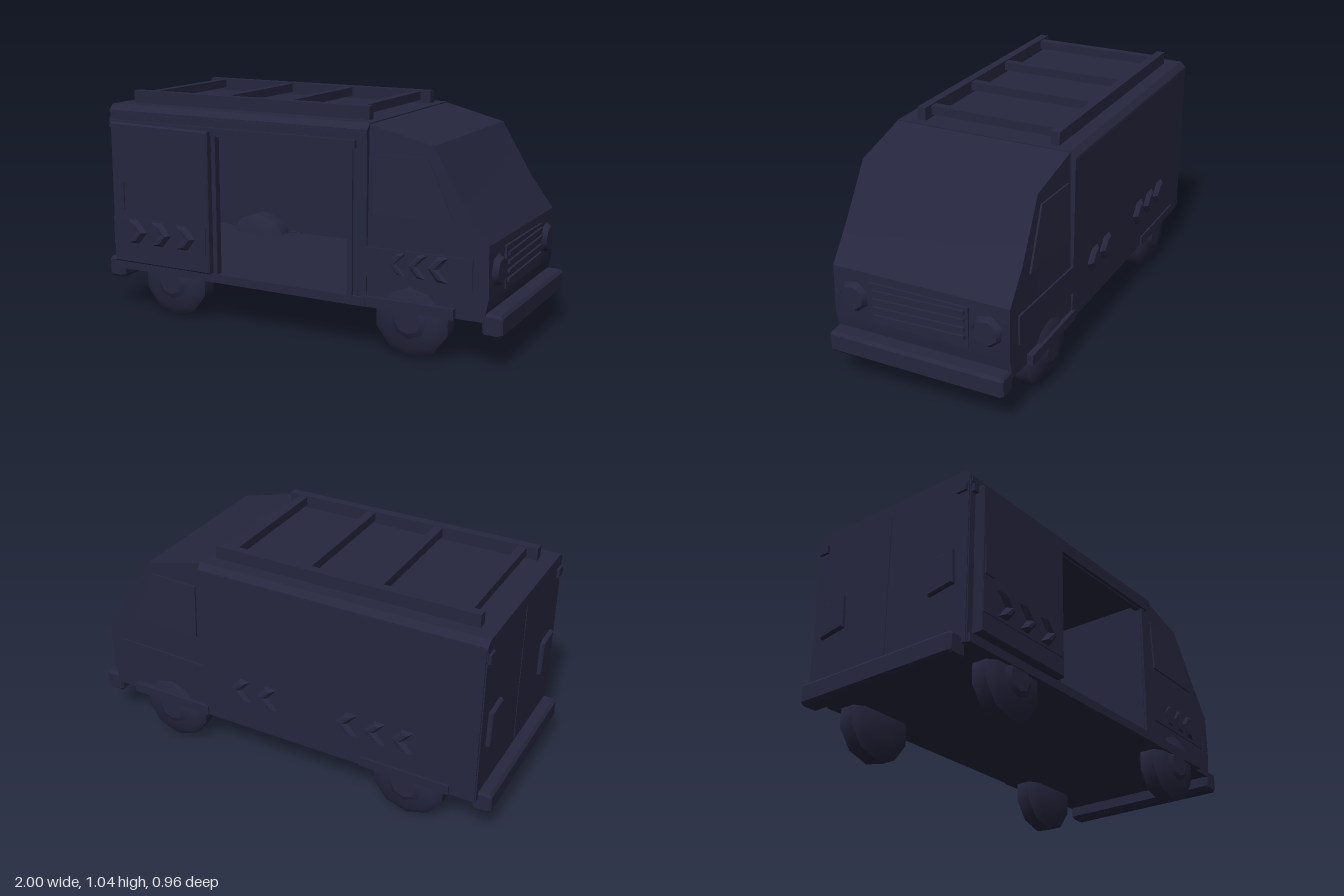
import * as THREE from 'three';
import { toCreasedNormals } from 'three/addons/utils/BufferGeometryUtils.js';

const CZ = -0.025; // centre line of the body across its width

export function createModel() {
  const van = new THREE.Group();
  van.name = 'van';
  const navy = new THREE.MeshStandardMaterial({ color: 0x26263f });
  navy.name = 'dark navy';

  const add = (name, geo, x = 0, y = 0, z = 0) => {
    const m = new THREE.Mesh(geo, navy);
    m.name = name;
    m.position.set(x, y, z);
    van.add(m);
    return m;
  };
  // box given by its limits on each axis
  const box = (name, x0, x1, y0, y1, z0, z1) =>
    add(name, new THREE.BoxGeometry(x1 - x0, y1 - y0, z1 - z0), (x0 + x1) / 2, (y0 + y1) / 2, (z0 + z1) / 2);
  const poly = (pts) => new THREE.Shape(pts.map((p) => new THREE.Vector2(...p)));
  const prism = (shape, depth, bevel = 0) => new THREE.ExtrudeGeometry(shape, {
    depth, bevelEnabled: bevel > 0, bevelThickness: bevel, bevelSize: bevel, bevelOffset: -bevel, bevelSegments: 1,
  });

  // Cargo body: hollow shell with an open side doorway
  box('floor', -0.93, 0.4, 0.2, 0.24, -0.455, 0.405);
  box('farSideWall', -0.935, 0.4, 0.2, 0.95, -0.462, -0.44);
  box('rearWall', -0.94, -0.915, 0.2, 0.95, -0.455, 0.405);
  box('bulkhead', 0.38, 0.4, 0.2, 0.95, -0.455, 0.405);
  const wall = poly([[-0.935, 0.2], [0.4, 0.2], [0.4, 0.95], [-0.935, 0.95]]);
  wall.holes.push(new THREE.Path([[-0.35, 0.24], [-0.35, 0.87], [0.31, 0.87], [0.31, 0.24]].map((p) => new THREE.Vector2(...p))));
  add('doorwayWall', prism(wall, 0.025), 0, 0, 0.385);
  box('rearDoorSeam', -0.943, -0.938, 0.25, 0.92, CZ - 0.004, CZ + 0.004);

  // Roof with chamfered long edges, extruded along the body
  const roof = prism(poly([[-0.435, 0.94], [0.435, 0.94], [0.435, 0.955], [0.41, 0.98], [-0.41, 0.98], [-0.435, 0.955]]), 1.34);
  roof.rotateY(Math.PI / 2);
  add('roof', roof, -0.94, 0, CZ);

  // Cab: side profile extruded, then narrowed towards the nose and the roof
  const cab = prism(poly([[0.4, 0.2], [0.92, 0.2], [0.94, 0.3], [0.935, 0.52], [0.83, 0.66], [0.685, 0.905], [0.4, 0.975]]), 2);
  cab.translate(0, 0, -1);
  const cp = cab.attributes.position;
  for (let i = 0; i < cp.count; i++) {
    const half = 0.43 - 0.035 * (cp.getX(i) - 0.4) - 0.05 * Math.max(0, cp.getY(i) - 0.6);
    cp.setZ(i, CZ + Math.sign(cp.getZ(i)) * half);
  }
  add('cab', toCreasedNormals(cab, 0.45));

  // Cab side windows and stripes, laid along the sloping sides
  const plate = (name, pts, s) => {
    const g = prism(poly(pts), 0.008);
    const p = g.attributes.position;
    for (let i = 0; i < p.count; i++) {
      const half = 0.43 - 0.035 * (p.getX(i) - 0.4) - 0.05 * Math.max(0, p.getY(i) - 0.6);
      const t = p.getZ(i) > 0.004 ? 0.005 : -0.003;
      p.setZ(i, CZ + (s > 0 ? half + t : -half - 0.002 - t));
    }
    // the mirrored side needs its corners in reverse order
    if (s < 0) {
      for (let i = 0; i < p.count; i += 3) {
        const a = [p.getX(i), p.getY(i), p.getZ(i)];
        p.setXYZ(i, p.getX(i + 1), p.getY(i + 1), p.getZ(i + 1));
        p.setXYZ(i + 1, ...a);
      }
    }
    g.computeVertexNormals();
    add(name, g);
  };
  for (const s of [1, -1]) {
    plate('sideWindow', [[0.43, 0.605], [0.78, 0.605], [0.665, 0.855], [0.43, 0.855]], s);
    plate('cabStripe', [[0.4, 0.33], [0.87, 0.33], [0.87, 0.46], [0.4, 0.46]], s);
  }

  // Sliding door, pushed back along its tracks
  const door = prism(poly([[-0.905, 0.245], [-0.37, 0.245], [-0.37, 0.895], [-0.905, 0.905]]), 0.04, 0.006);
  add('slidingDoor', door, 0, 0, 0.409);
  box('upperTrack', -0.93, 0.35, 0.875, 0.91, 0.405, 0.428);
  box('lowerTrack', -0.93, 0.4, 0.2, 0.24, 0.405, 0.422);
  box('gutter', -0.93, 0.4, 0.925, 0.945, 0.405, 0.415);
  for (const x of [-0.36, 0.325]) box('doorPost', x - 0.012, x + 0.012, 0.24, 0.88, 0.4, 0.42);
  box('doorStripe', -0.9, -0.385, 0.33, 0.46, 0.452, 0.459);
  box('doorHandle', -0.89, -0.835, 0.5, 0.63, 0.452, 0.461);

  // Raised chevrons along both sides
  const chevron = (x, z, s, dir, depth) => {
    const g = prism(poly([[-0.05, -0.055], [0.005, -0.055], [0.05, 0], [0.005, 0.055], [-0.05, 0.055], [-0.005, 0]]), 0.004, 0.016);
    g.scale(1, 1, depth / 0.02);
    const m = add('chevron', g, x, 0.4, z);
    m.rotation.y = s * dir > 0 ? 0 : Math.PI;
    if (dir < 0 && s > 0) m.rotation.set(0, 0, Math.PI);
  };
  for (const x of [-0.76, -0.625, -0.49]) chevron(x, 0.459, 1, 1, 0.022);
  for (const x of [0.54, 0.63, 0.72]) chevron(x, 0.395, 1, -1, 0.014);
  for (const x of [-0.6, -0.47, -0.335, 0.065, 0.2]) {
    const g = prism(poly([[-0.05, -0.055], [0.005, -0.055], [0.05, 0], [0.005, 0.055], [-0.05, 0.055], [-0.005, 0]]), 0.004, 0.016);
    add('chevron', g, x, 0.4, -0.466);
  }

  // Sill strips over the wheels
  box('frontSill', 0.385, 0.8, 0.2, 0.245, 0.38, 0.418);
  box('frontSill', 0.385, 0.8, 0.2, 0.245, -0.47, -0.43);
  box('rearSill', -0.82, -0.4, 0.2, 0.245, -0.47, -0.43);

  // Bumpers with chamfered edges
  const bumperShape = poly([[-0.045, -0.035], [-0.033, -0.048], [0.033, -0.048], [0.045, -0.035],
    [0.045, 0.035], [0.033, 0.048], [-0.033, 0.048], [-0.045, 0.035]]);
  for (const x of [-0.955, 0.955]) add('bumper', prism(bumperShape, 0.8, 0.01), x, 0.188, CZ - 0.4);

  // Wheels: ten-sided tyres with chamfered shoulders and a domed hub
  const tyre = new THREE.LatheGeometry([[0, -0.065], [0.13, -0.065], [0.172, -0.035], [0.172, 0.035], [0.13, 0.065], [0, 0.065]]
    .map((p) => new THREE.Vector2(...p)), 10);
  tyre.rotateX(Math.PI / 2);
  tyre.rotateZ(Math.PI / 10 * (Math.abs(Math.sin(Math.PI / 2 * 10 / 2)) > 0.5 ? 1 : 0) + Math.PI / 10);
  const tyreGeo = toCreasedNormals(tyre, 0.7);
  const hub = new THREE.CylinderGeometry(0.06, 0.088, 0.014, 8);
  hub.rotateX(Math.PI / 2);
  for (const x of [-0.615, 0.597]) {
    for (const s of [1, -1]) {
      const z = CZ + s * 0.365;
      add('tyre', tyreGeo, x, 0.167, z);
      const h = add('hub', hub, x, 0.167, z + s * 0.07);
      if (s < 0) h.rotation.y = Math.PI;
    }
  }

  // Nose: grille with slanting slats, six-sided headlamps
  box('grille', 0.925, 0.946, 0.3, 0.485, CZ - 0.23, CZ + 0.23);
  for (let i = 0; i < 4; i++) {
    const slat = box('grilleSlat', 0.942, 0.956, 0.334 + i * 0.038, 0.35 + i * 0.038, CZ - 0.215, CZ + 0.215);
    slat.rotation.x = 0.035;
  }
  for (const s of [1, -1]) {
    const lamp = new THREE.CylinderGeometry(0.055, 0.078, 0.035, 7);
    lamp.rotateZ(-Math.PI / 2);
    add('headlamp', lamp, 0.944, 0.4, CZ + s * 0.312);
    // Tail lamps
    const tail = prism(poly([[-0.065, 0.45], [0.065, 0.47], [0.06, 0.62], [-0.06, 0.61]]), 0.025, 0.006);
    tail.rotateY(-Math.PI / 2);
    add('tailLamp', tail, -0.928, 0, CZ + s * 0.305);
    // Rear upper hinges
    box('rearHinge', -0.952, -0.93, 0.88, 0.92, CZ + s * 0.4 - 0.025, CZ + s * 0.4 + 0.025);
  }

  // Roof rack
  for (const z of [-0.35, 0.29]) box('rackRail', -0.87, 0.36, 0.975, 1.038, z - 0.02, z + 0.02);
  for (const x of [-0.8, -0.405, -0.07, 0.29]) box('rackBar', x - 0.02, x + 0.02, 0.993, 1.033, -0.34, 0.28);

  return van;
}
